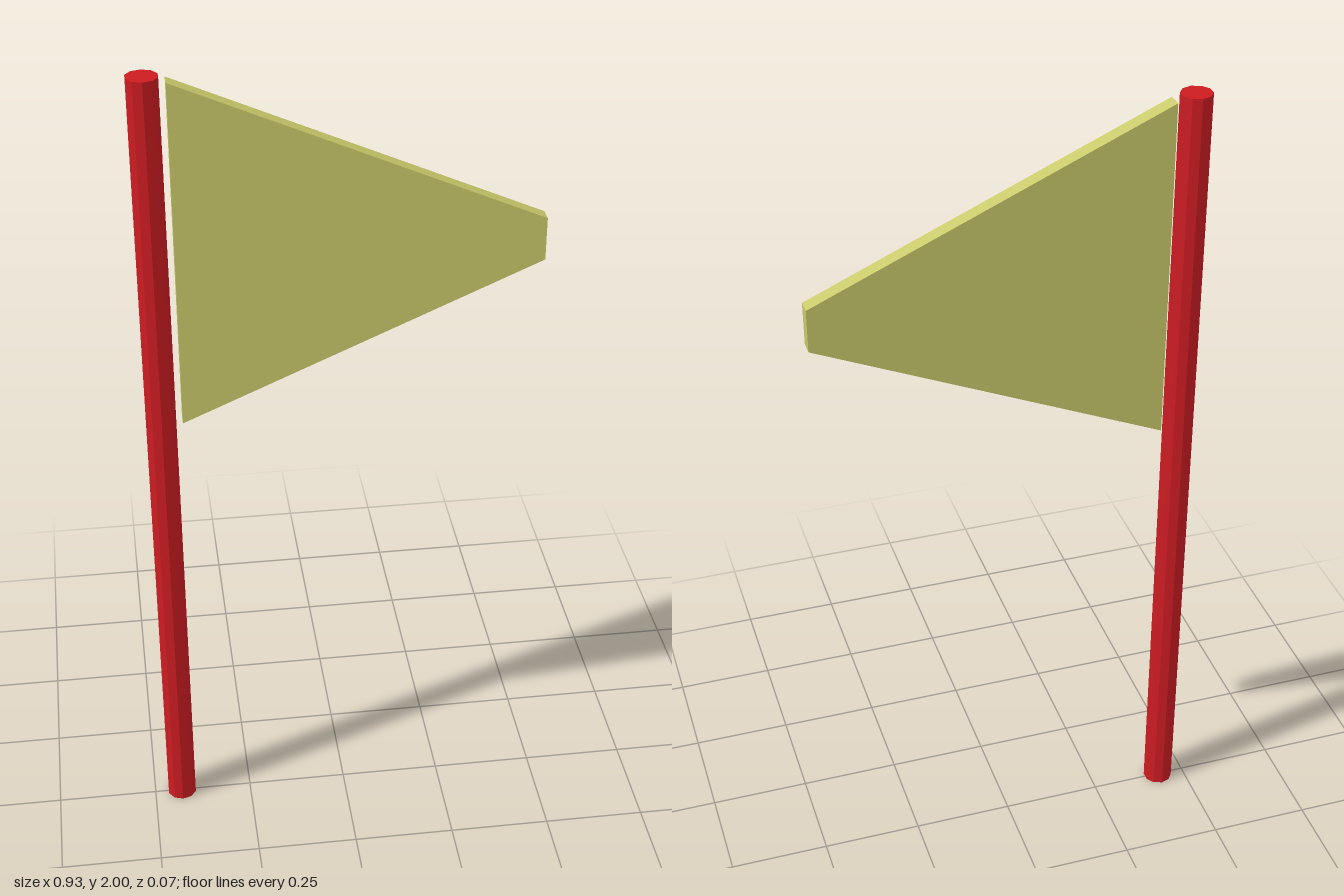
import * as THREE from 'three';

export function createModel() {
  const group = new THREE.Group();
  const mat = (color) => new THREE.MeshStandardMaterial({ color, flatShading: true });

  // Ten-sided pole
  const pole = new THREE.Mesh(new THREE.CylinderGeometry(0.037, 0.037, 2, 10), mat(0xcc1c22));
  pole.name = 'pole';
  pole.position.set(-0.43, 1, 0);
  group.add(pole);

  // Tapered pennant with a blunt tip
  const depth = 0.037;
  const outline = new THREE.Shape([
    new THREE.Vector2(-0.38, 1.146),
    new THREE.Vector2(0.463, 1.516),
    new THREE.Vector2(0.463, 1.62),
    new THREE.Vector2(-0.38, 1.989),
  ]);
  const flagGeometry = new THREE.ExtrudeGeometry(outline, { depth, bevelEnabled: false });
  flagGeometry.translate(0, 0, -depth / 2);
  const flag = new THREE.Mesh(flagGeometry, mat(0xc8c86a));
  flag.name = 'flag';
  group.add(flag);

  return group;
}
